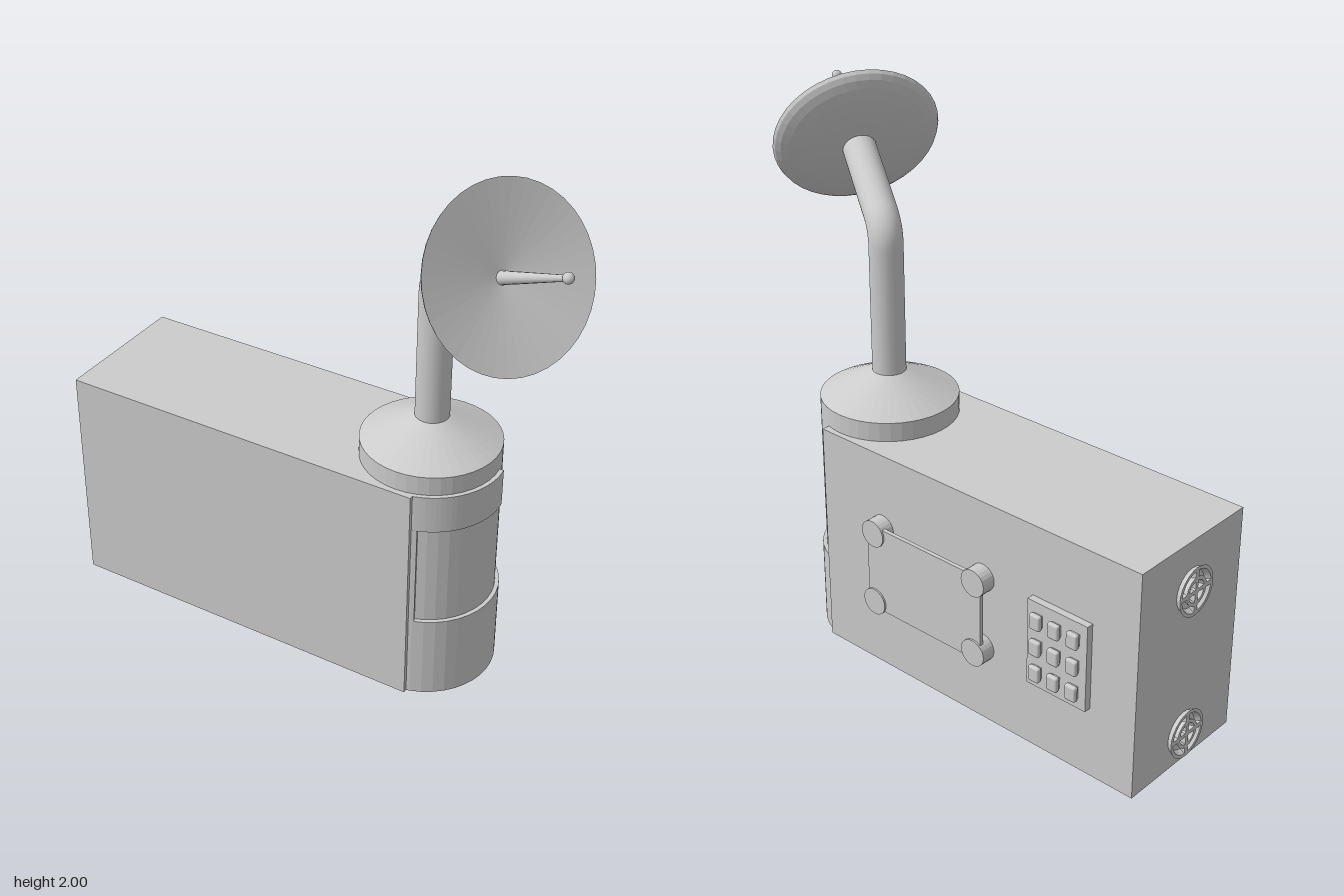
import * as THREE from 'three';
import { RoundedBoxGeometry } from 'three/addons/geometries/RoundedBoxGeometry.js';

const smooth = new THREE.MeshStandardMaterial({ color: 0xcccccc });
const flat = new THREE.MeshStandardMaterial({ color: 0xcccccc, flatShading: true });
const CX = 0.362, CZ = -0.08; // axis of the round tower

export function createModel() {
  const root = new THREE.Group();
  const add = (name, geo, x, y, z, mat = flat, parent = root) => {
    const m = new THREE.Mesh(geo, mat);
    m.name = name;
    m.position.set(x, y, z);
    parent.add(m);
    return m;
  };
  const cyl = (rTop, rBottom, h, n) => new THREE.CylinderGeometry(rTop, rBottom, h, n);

  // Main case
  add('caseBody', new THREE.BoxGeometry(1.385, 0.85, 0.53), -0.2625, 0.425, CZ);

  // Round tower at the end of the case
  add('towerBase', cyl(0.26, 0.26, 0.32, 40), CX, 0.16, CZ);
  add('towerCore', cyl(0.245, 0.245, 0.92, 40), CX, 0.46, CZ);
  add('towerCap', cyl(0.06, 0.245, 0.09, 40), CX, 0.965, CZ);

  // Curved cover pieces; angles run from the front (+z) towards +x
  const cover = (name, a, b, y0, y1) => {
    const s = new THREE.Shape();
    const lo = Math.PI / 2 - b, hi = Math.PI / 2 - a;
    s.absarc(0, 0, 0.26, -hi, -lo, false);
    s.absarc(0, 0, 0.235, -lo, -hi, true);
    s.closePath();
    const g = new THREE.ExtrudeGeometry(s, { depth: y1 - y0, bevelEnabled: false, curveSegments: 12 });
    g.rotateX(-Math.PI / 2);
    add(name, g, CX, y0, CZ);
  };
  cover('upperBand', 0.1, 1.72, 0.71, 0.85);
  cover('slotEdge', 0.1, 0.34, 0.32, 0.71);

  // Bent mast
  const dir = new THREE.Vector3(0.772, 0.438, 0.46).normalize();
  const bend = new THREE.Vector3(CX, 1.535, CZ);
  const at = (d) => bend.clone().addScaledVector(dir, d);
  const path = new THREE.CurvePath();
  const low = new THREE.Vector3(CX, 1.47, CZ), high = at(0.065);
  path.add(new THREE.LineCurve3(new THREE.Vector3(CX, 0.95, CZ), low));
  path.add(new THREE.QuadraticBezierCurve3(low, bend, high));
  path.add(new THREE.LineCurve3(high, at(0.385)));
  add('mast', new THREE.TubeGeometry(path, 60, 0.06, 20), 0, 0, 0, smooth);

  // Dish, with its own axis along +y of the group
  const dish = new THREE.Group();
  dish.name = 'dish';
  dish.position.set(0.713, 1.732, 0.135);
  dish.quaternion.setFromUnitVectors(new THREE.Vector3(0, 1, 0), dir);
  root.add(dish);
  const profile = [];
  for (let i = 0; i <= 8; i++) {
    const a = (i / 8) * Math.PI / 2;
    profile.push(new THREE.Vector2(0.298 * Math.sin(a), -0.07 * Math.cos(a)));
  }
  profile.push(new THREE.Vector2(0, -0.05));
  add('reflector', new THREE.LatheGeometry(profile, 40), 0, 0, 0, flat, dish);
  add('feedRod', cyl(0.009, 0.022, 0.36, 16), 0, 0.13, 0, smooth, dish);
  add('feedRodFoot', new THREE.SphereGeometry(0.023, 16, 12), 0, -0.048, 0, smooth, dish);
  add('feedTip', new THREE.SphereGeometry(0.018, 16, 12), 0, 0.31, 0, smooth, dish);

  // Raised back panel on four round corner posts
  add('backPanel', new THREE.BoxGeometry(0.52, 0.33, 0.015), -0.085, 0.428, -0.384);
  for (const x of [-0.315, 0.145]) for (const y of [0.29, 0.565]) {
    const g = cyl(0.05, 0.05, 0.055, 24);
    g.rotateX(Math.PI / 2);
    add('panelPost', g, x, y, -0.3705);
  }

  // Keypad
  add('keypadPlate', new THREE.BoxGeometry(0.245, 0.325, 0.03), -0.6525, 0.428, -0.356);
  for (let i = -1; i <= 1; i++) for (let j = -1; j <= 1; j++) {
    const x = -0.6525 + i * 0.076, y = 0.428 + j * 0.1;
    add('keyStem', new THREE.BoxGeometry(0.034, 0.044, 0.02), x, y, -0.375);
    add('key', new RoundedBoxGeometry(0.045, 0.058, 0.02, 2, 0.008), x, y, -0.387, smooth);
  }

  // Flared round vents: two rings of four openings, divided by a cross
  const vent = new THREE.Shape().absarc(0, 0, 0.085, 0, Math.PI * 2, false);
  for (const [r0, r1] of [[0.012, 0.038], [0.05, 0.073]]) {
    for (let q = 0; q < 4; q++) {
      const a = q * Math.PI / 2, gap0 = Math.min(0.5, 0.008 / r0), gap1 = 0.008 / r1;
      const hole = new THREE.Path();
      hole.absarc(0, 0, r1, a + gap1, a + Math.PI / 2 - gap1, false);
      hole.absarc(0, 0, r0, a + Math.PI / 2 - gap0, a + gap0, true);
      hole.closePath();
      vent.holes.push(hole);
    }
  }
  for (const y of [0.115, 0.67]) {
    const g = new THREE.ExtrudeGeometry(vent, { depth: 0.02, bevelEnabled: false, curveSegments: 12 });
    const p = g.attributes.position;
    for (let i = 0; i < p.count; i++) {
      const k = 0.92 + 6.5 * p.getZ(i);
      p.setXY(i, p.getX(i) * k, p.getY(i) * k);
    }
    g.rotateY(-Math.PI / 2);
    g.computeVertexNormals();
    add('sideVent', g, -0.955, y, CZ);
  }
  return root;
}
